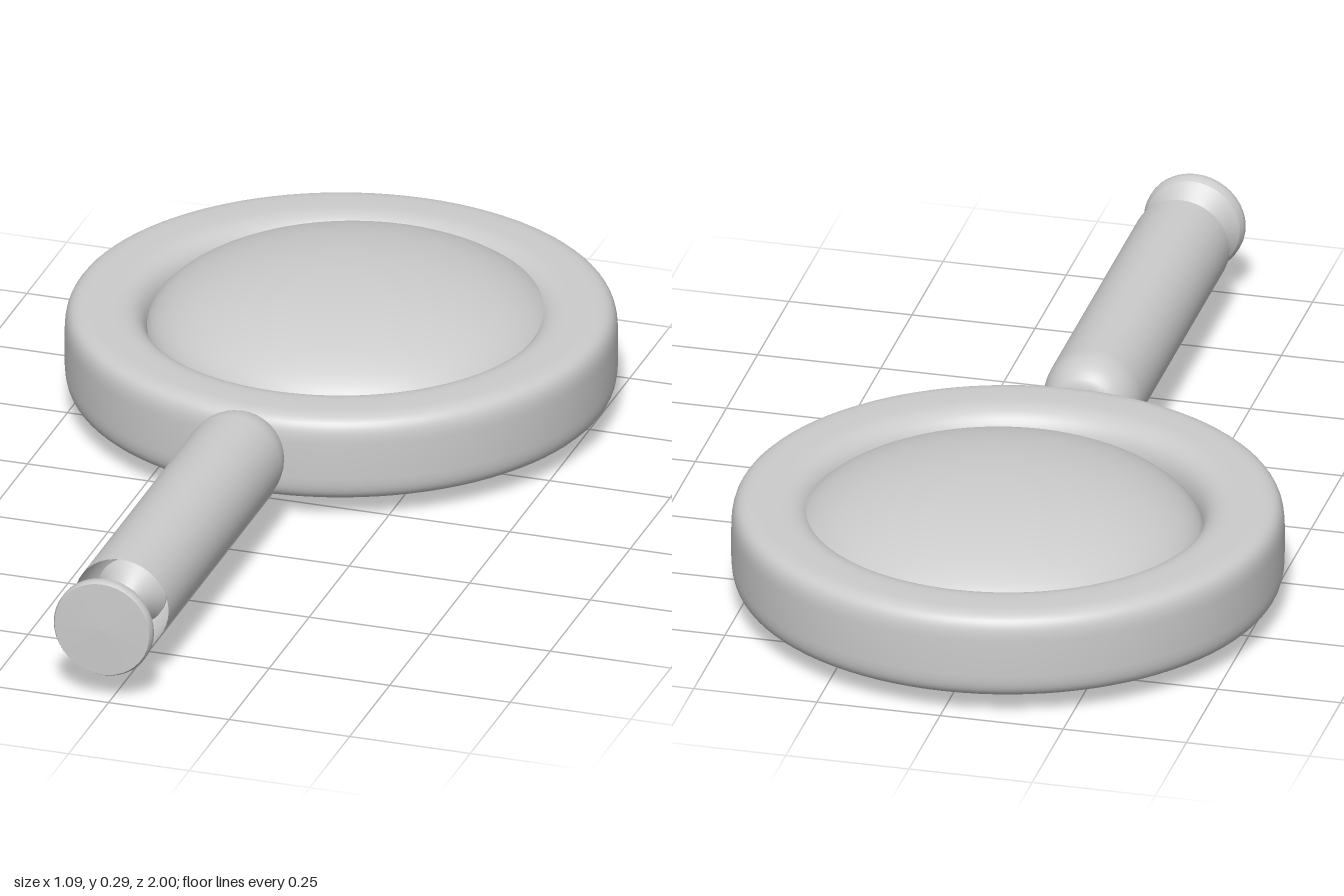
import * as THREE from 'three';

const material = new THREE.MeshStandardMaterial({ color: 0xcccccc });
const openMaterial = new THREE.MeshStandardMaterial({ color: 0xcccccc, side: THREE.DoubleSide });

function part(name, geometry, x, y, z, mat = material) {
  const mesh = new THREE.Mesh(geometry, mat);
  mesh.name = name;
  mesh.position.set(x, y, z);
  return mesh;
}

// Frame section: squarish on the outer wall, softer on the inner wall
function ringProfile(inner, outer, halfHeight, steps = 48) {
  const mid = (inner + outer) / 2, half = (outer - inner) / 2;
  const points = [];
  for (let i = 0; i <= steps; i++) {
    const a = -Math.PI + (i / steps) * Math.PI * 2;
    const c = Math.cos(a), s = Math.sin(a);
    const power = 2 / (c > 0 ? 4.5 : 2.8);
    points.push(new THREE.Vector2(
      mid + Math.sign(c) * half * Math.abs(c) ** power,
      Math.sign(s) * halfHeight * Math.abs(s) ** power));
  }
  return points;
}

// Lathe turned to run along z, from [radius, z] pairs in rising z
function latheZ(pairs, segments = 40) {
  const points = pairs.map(([r, z]) => new THREE.Vector2(r, z));
  return new THREE.LatheGeometry(points, segments).rotateX(Math.PI / 2);
}

export function createModel() {
  const group = new THREE.Group();

  // Round frame
  group.add(part('frame', new THREE.LatheGeometry(ringProfile(0.38, 0.545, 0.092), 96), 0, 0.132, -0.455));

  // Bulging lens, a flattened sphere
  const lens = new THREE.SphereGeometry(1, 72, 36).scale(0.41, 0.146, 0.41);
  group.add(part('lens', lens, 0.012, 0.148, -0.488));

  // Handle: open tube with a rounded end against the frame
  const grip = [[0, 0.088], [0.04, 0.09]];
  for (let i = 0; i <= 8; i++) {
    const a = (i / 8) * Math.PI / 2;
    grip.push([0.05 + 0.048 * Math.sin(a), 0.175 - 0.083 * Math.cos(a)]);
  }
  grip.push([0.098, 0.875]);
  group.add(part('handle', latheZ(grip), -0.015, 0.157, 0, openMaterial));

  // End knob: cone flaring to a flat disc, its tip set in the tube mouth
  const knob = latheZ([[0, 0.868], [0.012, 0.878], [0.096, 0.966], [0.096, 0.966],
    [0.102, 0.978], [0.102, 0.99], [0.098, 0.997], [0.098, 0.997], [0, 1]]);
  group.add(part('endKnob', knob, -0.015, 0.157, 0));

  // Small flare inside the tube that carries the knob
  const flare = latheZ([[0, 0.8], [0.07, 0.8], [0.07, 0.81], [0.012, 0.878], [0, 0.878]]);
  group.add(part('knobMount', flare, -0.015, 0.157, 0));

  return group;
}
